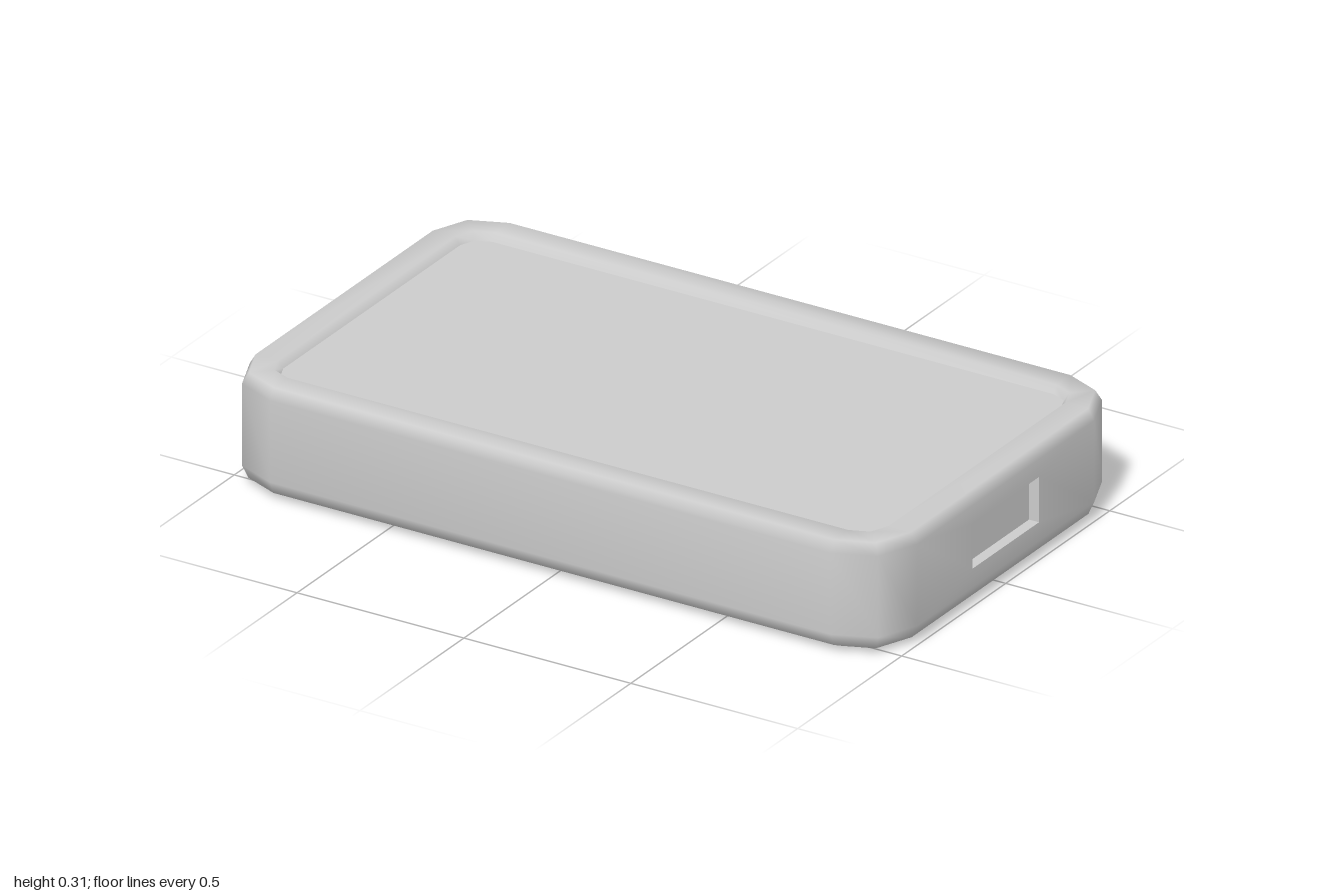
import * as THREE from 'three';

const HALF_X = 1, HALF_Z = 0.585, RADIUS = 0.16;
const SLOT = { z: 0.16, y0: 0.107, y1: 0.235, depth: 0.03 };
const N = 12; // points per outline: three for each of the four corners

// Rounded rectangle, moved inwards by inset, at height y
function outline(inset, y) {
  const points = [];
  for (let corner = 0; corner < 4; corner++) {
    const sx = corner === 0 || corner === 3 ? 1 : -1;
    const sz = corner < 2 ? 1 : -1;
    for (let k = 0; k < 3; k++) {
      const a = (corner + k / 2) * Math.PI / 2;
      points.push([
        sx * (HALF_X - RADIUS) + (RADIUS - inset) * Math.cos(a), y,
        sz * (HALF_Z - RADIUS) + (RADIUS - inset) * Math.sin(a)]);
    }
  }
  return points;
}

function build(points, index) {
  const geometry = new THREE.BufferGeometry();
  geometry.setAttribute('position', new THREE.Float32BufferAttribute(points.flat(), 3));
  geometry.setIndex(index);
  geometry.computeVertexNormals();
  return geometry;
}

// Shell: stacked outlines from the base up over the rim and into the recess
function shellGeometry() {
  const profile = [[0.055, 0], [0.017, 0.018], [0, 0.055], [0, 0.285],
    [0.018, 0.315], [0.085, 0.315], [0.1, 0.295]];
  const points = profile.flatMap(([inset, y]) => outline(inset, y));
  const index = [];
  for (let j = 1; j < N - 1; j++) index.push(0, j, j + 1); // base
  for (let ring = 0; ring < profile.length - 1; ring++) {
    for (let j = 0; j < N; j++) {
      const a = ring * N + j, b = ring * N + (j + 1) % N;
      const c = a + N, d = b + N;
      if (ring === 2 && (j === 5 || j === 11)) {
        // End wall: a frame around the slot opening
        const s = j === 11 ? 1 : -1, first = points.length;
        const { z, y0, y1 } = SLOT;
        points.push([s, y0, -s * z], [s, y1, -s * z], [s, y1, s * z], [s, y0, s * z]);
        const outer = [a, c, d, b];
        for (let i = 0; i < 4; i++) {
          const n = (i + 1) % 4;
          index.push(outer[i], outer[n], first + n, outer[i], first + n, first + i);
        }
      } else {
        index.push(a, c, d, a, d, b);
      }
    }
  }
  return build(points, index);
}

// Flat panel lying in the recess
function panelGeometry() {
  const index = [];
  for (let j = 1; j < N - 1; j++) index.push(0, j + 1, j);
  return build(outline(0.1, 0.295), index);
}

// Slot pocket: a box without its outer face
function pocketGeometry() {
  const { z, y0, y1, depth } = SLOT;
  const geometry = new THREE.BoxGeometry(depth, y1 - y0, 2 * z);
  geometry.setIndex(Array.from(geometry.index.array).slice(6));
  geometry.clearGroups();
  geometry.translate(HALF_X - depth / 2, (y0 + y1) / 2, 0);
  return geometry;
}

export function createModel() {
  const group = new THREE.Group();
  const grey = new THREE.MeshStandardMaterial({ color: 0xcccccc });
  const inside = new THREE.MeshStandardMaterial({ color: 0xcccccc, side: THREE.DoubleSide });
  const add = (name, geometry, material = grey) => {
    const mesh = new THREE.Mesh(geometry, material);
    mesh.name = name;
    group.add(mesh);
    return mesh;
  };

  add('shell', shellGeometry());
  add('topPanel', panelGeometry());
  add('leftSlot', pocketGeometry(), inside);
  add('rightSlot', pocketGeometry(), inside).rotation.y = Math.PI;
  return group;
}
